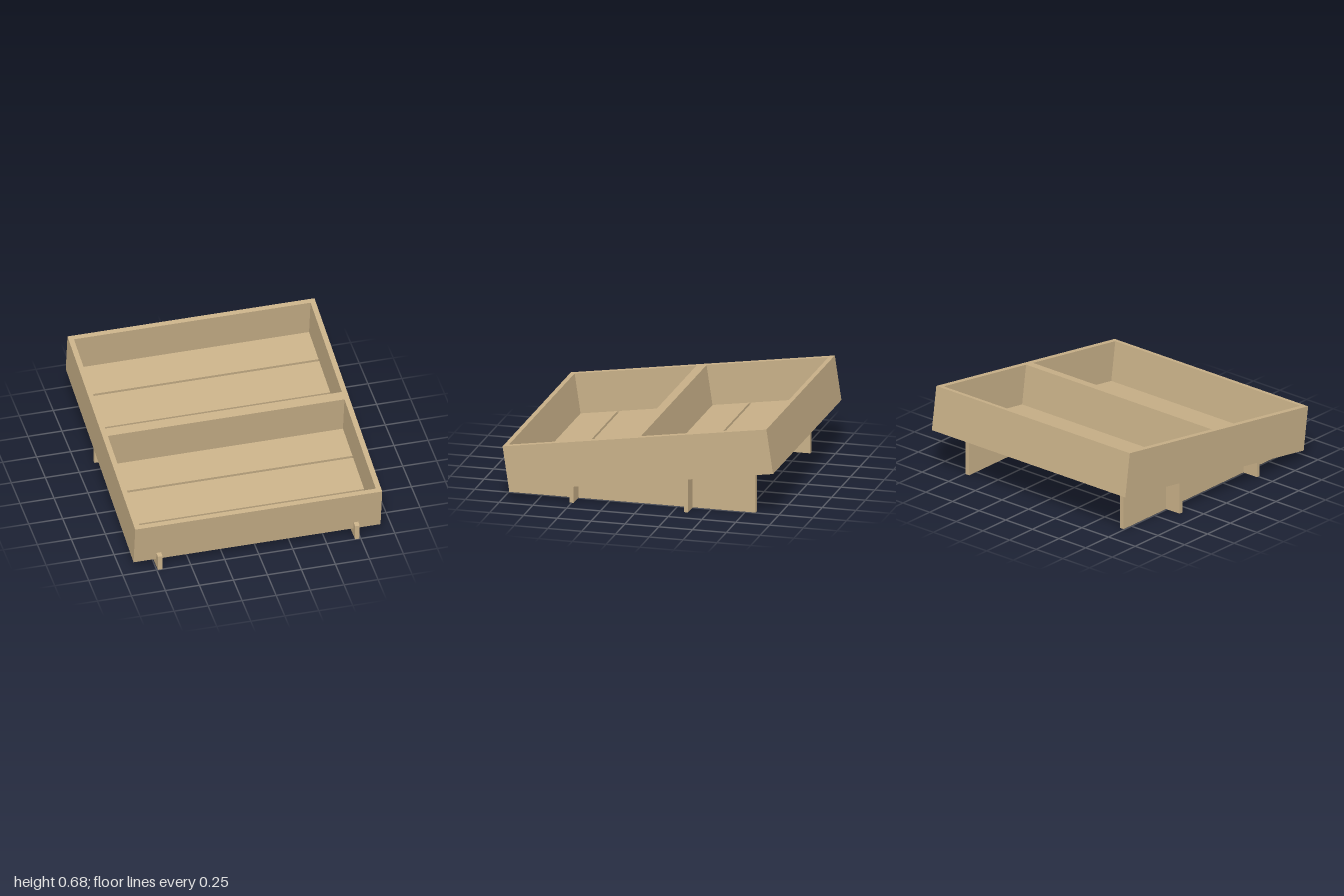
import * as THREE from 'three';

const TILT = THREE.MathUtils.degToRad(8.5);
const SLOPE = Math.tan(TILT);
const FRONT_Z = 0.951, FRONT_Y = 0.062;   // lower front edge of the trays
const HALF_W = 0.908, WALL = 0.038;
const TRAY_L = 0.9865, TRAY_H = 0.332;

export function createModel() {
  const model = new THREE.Group();
  model.name = 'tiltedTrayStand';
  const wood = new THREE.MeshStandardMaterial({ color: 0xc8b088 });
  wood.name = 'wood';

  const add = (parent, geometry, name) => {
    const mesh = new THREE.Mesh(geometry, wood);
    mesh.name = name;
    parent.add(mesh);
    return mesh;
  };
  const rect = (Type, x0, y0, x1, y1) => new Type([
    new THREE.Vector2(x0, y0), new THREE.Vector2(x1, y0),
    new THREE.Vector2(x1, y1), new THREE.Vector2(x0, y1),
  ]);
  // Board with a side profile of [z, y] points, centred on x
  const board = (points, width) => {
    const shape = new THREE.Shape(points.map(([z, y]) => new THREE.Vector2(z, y)));
    return new THREE.ExtrudeGeometry(shape, { depth: width, bevelEnabled: false })
      .translate(0, 0, -width / 2).rotateY(-Math.PI / 2);
  };
  const underside = (z) => FRONT_Y + SLOPE * (FRONT_Z - z);

  // Two open trays on the slope
  const trays = new THREE.Group();
  trays.name = 'trays';
  trays.position.set(0, FRONT_Y, FRONT_Z);
  trays.rotation.x = TILT;
  model.add(trays);

  ['front', 'back'].forEach((side, i) => {
    const tray = new THREE.Group();
    tray.name = side + 'Tray';
    tray.position.z = -i * TRAY_L;
    trays.add(tray);

    // Wall frame
    const frame = rect(THREE.Shape, -HALF_W, 0, HALF_W, TRAY_L);
    frame.holes.push(rect(THREE.Path, -HALF_W + WALL, WALL, HALF_W - WALL, TRAY_L - WALL));
    add(tray, new THREE.ExtrudeGeometry(frame, { depth: TRAY_H, bevelEnabled: false })
      .rotateX(-Math.PI / 2), 'trayWalls');

    // Floor slats with narrow gaps between them
    const slats = [[WALL, 0.314], [0.333, 0.652], [0.671, TRAY_L - WALL]];
    for (const [from, to] of slats) {
      const slat = add(tray, new THREE.BoxGeometry(2 * (HALF_W - WALL), 0.034, to - from), 'floorSlat');
      slat.position.set(0, 0.017, -(from + to) / 2);
    }
  });

  // Lengthwise runners with a stop lip in front of the trays
  const runner = [
    [1, 0], [1, 0.116], [0.96, 0.122], [FRONT_Z, FRONT_Y],
    [-0.825, underside(-0.825)], [-0.825, 0],
  ];
  for (const s of [-1, 1]) {
    add(model, board(runner, 0.034), s > 0 ? 'leftRunner' : 'rightRunner').position.x = s * 0.725;
  }

  // Cross boards, their tops cut to the slope
  for (const [z, name] of [[0.5, 'frontCrossBoard'], [-0.345, 'backCrossBoard']]) {
    const a = z - 0.015, b = z + 0.015;
    add(model, board([[b, 0], [b, underside(b)], [a, underside(a)], [a, 0]], 1.738), name);
  }
  return model;
}
